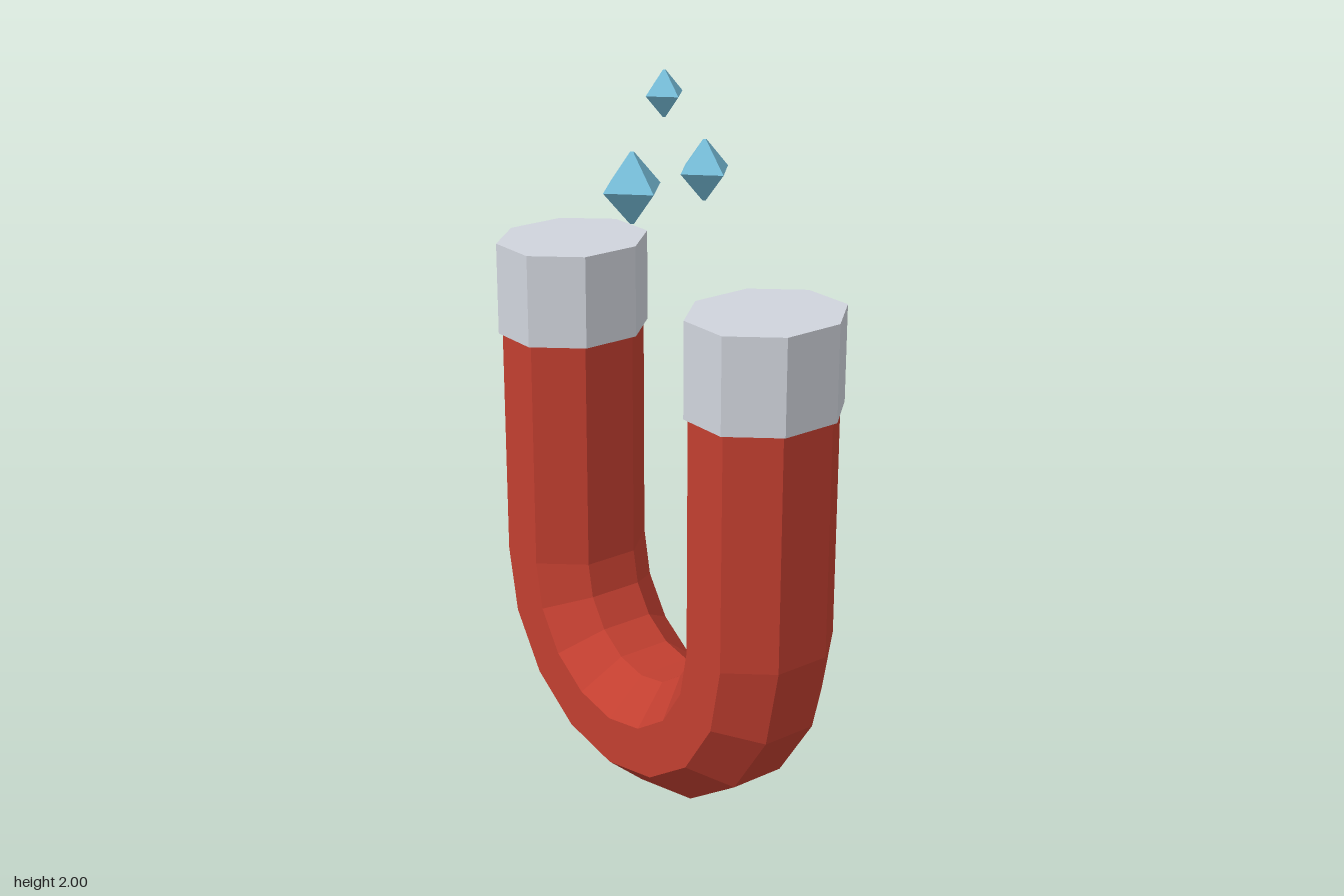
import * as THREE from 'three';

const LEG_X = 0.41;      // centre line of each leg, also the bend radius
const BEND_Y = 0.575;    // height where the legs meet the bend
const CAP_BOTTOM = 1.22;
const CAP_TOP = 1.475;
const SIDES = 8;
const BEND_STEPS = 8;

const flat = (name, color) => {
  const m = new THREE.MeshStandardMaterial({ color, flatShading: true });
  m.name = name;
  return m;
};

// Slightly flattened octagon swept down one leg, round the bend and up the other
function horseshoeGeometry() {
  const rx = 0.165 / Math.cos(Math.PI / SIDES);
  const rz = 0.19 / Math.cos(Math.PI / SIDES);
  const stations = [{ y: CAP_BOTTOM + 0.02, a: 0 }];
  for (let i = 0; i <= BEND_STEPS; i++) stations.push({ y: BEND_Y, a: (Math.PI * i) / BEND_STEPS });
  stations.push({ y: CAP_BOTTOM + 0.02, a: Math.PI });

  const positions = [];
  const index = [];
  stations.forEach(({ y, a }, s) => {
    for (let j = 0; j < SIDES; j++) {
      const t = ((j + 0.5) / SIDES) * Math.PI * 2;
      const r = LEG_X + rx * Math.cos(t);
      positions.push(r * Math.cos(a), y - r * Math.sin(a), rz * Math.sin(t));
      if (s === 0) continue;
      const k = (j + 1) % SIDES;
      const p = (s - 1) * SIDES, q = s * SIDES;
      index.push(p + j, p + k, q + j, p + k, q + k, q + j);
    }
  });
  const g = new THREE.BufferGeometry();
  g.setAttribute('position', new THREE.Float32BufferAttribute(positions, 3));
  g.setIndex(index);
  const out = g.toNonIndexed();
  out.computeVertexNormals();
  return out;
}

export function createModel() {
  const red = flat('red paint', 0xc23f30);
  const steel = flat('pale steel', 0xd0d4dc);
  const blue = flat('spark blue', 0x78c0dc);
  red.side = THREE.DoubleSide;

  const model = new THREE.Group();
  model.name = 'magnet';
  const add = (name, geometry, material, x = 0, y = 0) => {
    const mesh = new THREE.Mesh(geometry, material);
    mesh.name = name;
    mesh.position.set(x, y, 0);
    model.add(mesh);
    return mesh;
  };

  add('horseshoeBody', horseshoeGeometry(), red);

  // Steel pole caps
  const capGeo = new THREE.CylinderGeometry(1, 1, CAP_TOP - CAP_BOTTOM, SIDES);
  capGeo.rotateY(Math.PI / SIDES);
  capGeo.scale(0.176 / Math.cos(Math.PI / SIDES), 1, 0.2 / Math.cos(Math.PI / SIDES));
  for (const [name, side] of [['leftPoleCap', 1], ['rightPoleCap', -1]])
    add(name, capGeo, steel, side * LEG_X, (CAP_TOP + CAP_BOTTOM) / 2);

  // Floating sparks: four-sided double cones with tiny blunt tips
  const sparks = [
    ['largeSpark', -0.137, 1.67, 0.093],
    ['mediumSpark', 0.163, 1.78, 0.075],
    ['smallSpark', 0, 1.942, 0.058],
  ];
  for (const [name, x, y, r] of sparks) {
    const tip = r * 0.08, h = r * 1.02;
    const profile = [[0, -h], [tip, -h], [r, 0], [tip, h], [0, h]].map(([a, b]) => new THREE.Vector2(a, b));
    add(name, new THREE.LatheGeometry(profile, 4), blue, x, y);
  }
  return model;
}
